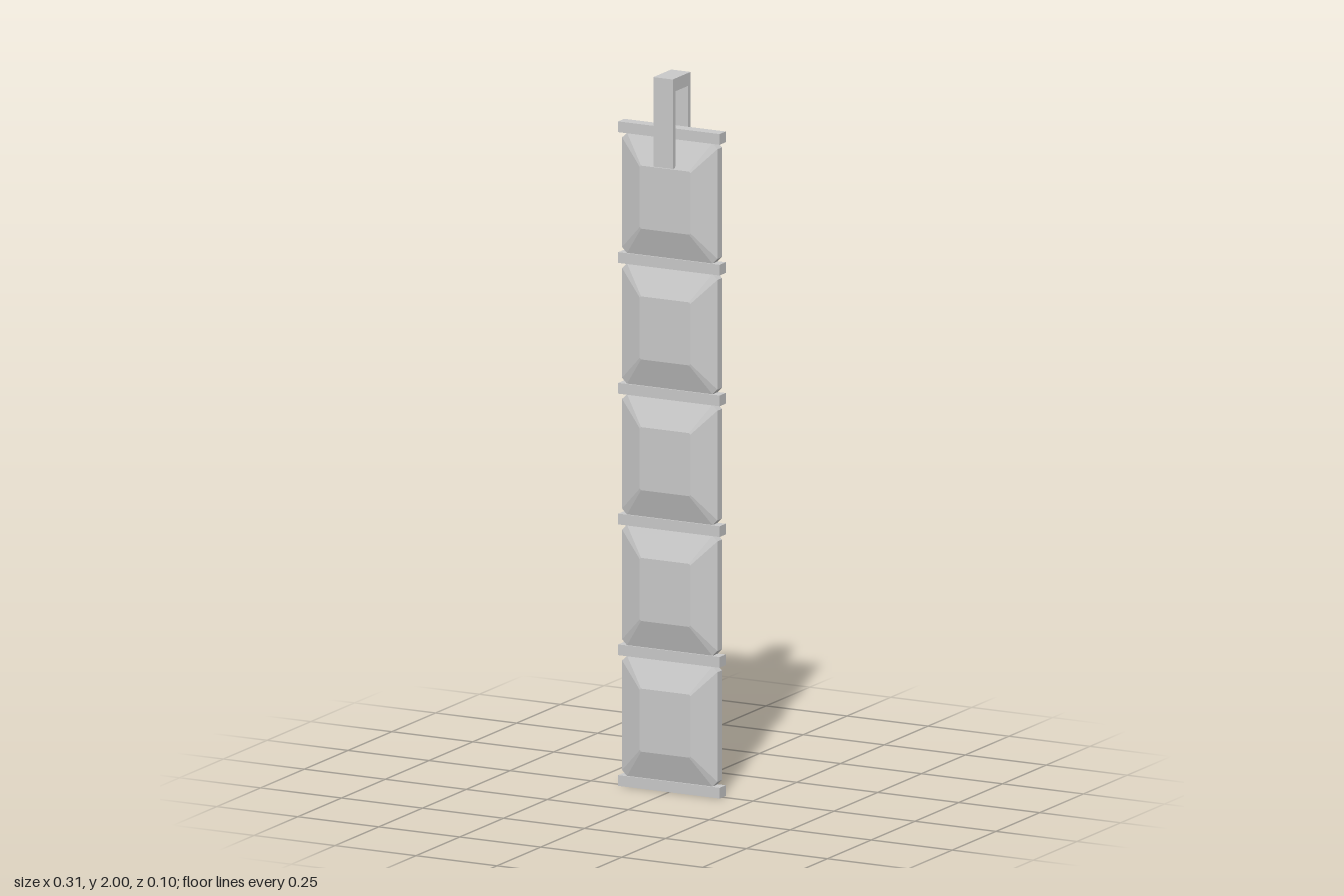
import * as THREE from 'three';

// Bevelled pad: stacked octagonal rings along z, closed by flat ends
function padGeometry() {
  const ring = (w, h, cut, z) => [
    [w, -h + cut], [w, h - cut], [w - cut, h], [-w + cut, h],
    [-w, h - cut], [-w, -h + cut], [-w + cut, -h], [w - cut, -h],
  ].map(([x, y]) => [x, y, z]);
  const rings = [
    ring(0.078, 0.088, 0.004, -0.04),
    ring(0.147, 0.168, 0.015, -0.013),
    ring(0.147, 0.168, 0.015, 0.013),
    ring(0.078, 0.088, 0.004, 0.04),
  ];
  const pos = [];
  const tri = (a, b, c) => pos.push(...a, ...b, ...c);
  for (let r = 0; r < 3; r++) {
    for (let i = 0; i < 8; i++) {
      const j = (i + 1) % 8;
      const [a, b, c, d] = [rings[r][i], rings[r][j], rings[r + 1][j], rings[r + 1][i]];
      tri(a, b, c);
      tri(a, c, d);
    }
  }
  for (let i = 1; i < 7; i++) {
    tri(rings[3][0], rings[3][i], rings[3][i + 1]);
    tri(rings[0][0], rings[0][i + 1], rings[0][i]);
  }
  const geo = new THREE.BufferGeometry();
  geo.setAttribute('position', new THREE.Float32BufferAttribute(pos, 3));
  geo.computeVertexNormals();
  return geo;
}

export function createModel() {
  const model = new THREE.Group();
  model.name = 'hangingPanel';
  const grey = new THREE.MeshStandardMaterial({ color: 0xc8c8c8 });
  grey.name = 'light grey metal';

  const add = (name, geo, x, y, z, parent = model) => {
    const mesh = new THREE.Mesh(geo, grey);
    mesh.name = name;
    mesh.position.set(x, y, z);
    parent.add(mesh);
  };

  const pitch = 0.365;
  const firstBar = 0.015;

  // Cross bars between and at the ends of the pads
  const bar = new THREE.BoxGeometry(0.313, 0.03, 0.035);
  for (let i = 0; i < 6; i++) add('crossBar' + (i + 1), bar, 0, firstBar + i * pitch, 0);

  // Five bevelled pads
  const pad = padGeometry();
  for (let i = 0; i < 5; i++) add('pad' + (i + 1), pad, 0, firstBar + (i + 0.5) * pitch, 0);

  // Square hanger straddling the top bar
  const hanger = new THREE.Group();
  hanger.name = 'hanger';
  model.add(hanger);
  add('hangerTop', new THREE.BoxGeometry(0.06, 0.036, 0.102), 0, 1.982, 0, hanger);
  const leg = new THREE.BoxGeometry(0.06, 0.214, 0.016);
  for (const s of [1, -1]) add(s > 0 ? 'hangerFrontLeg' : 'hangerBackLeg', leg, 0, 1.857, s * 0.043, hanger);

  return model;
}
